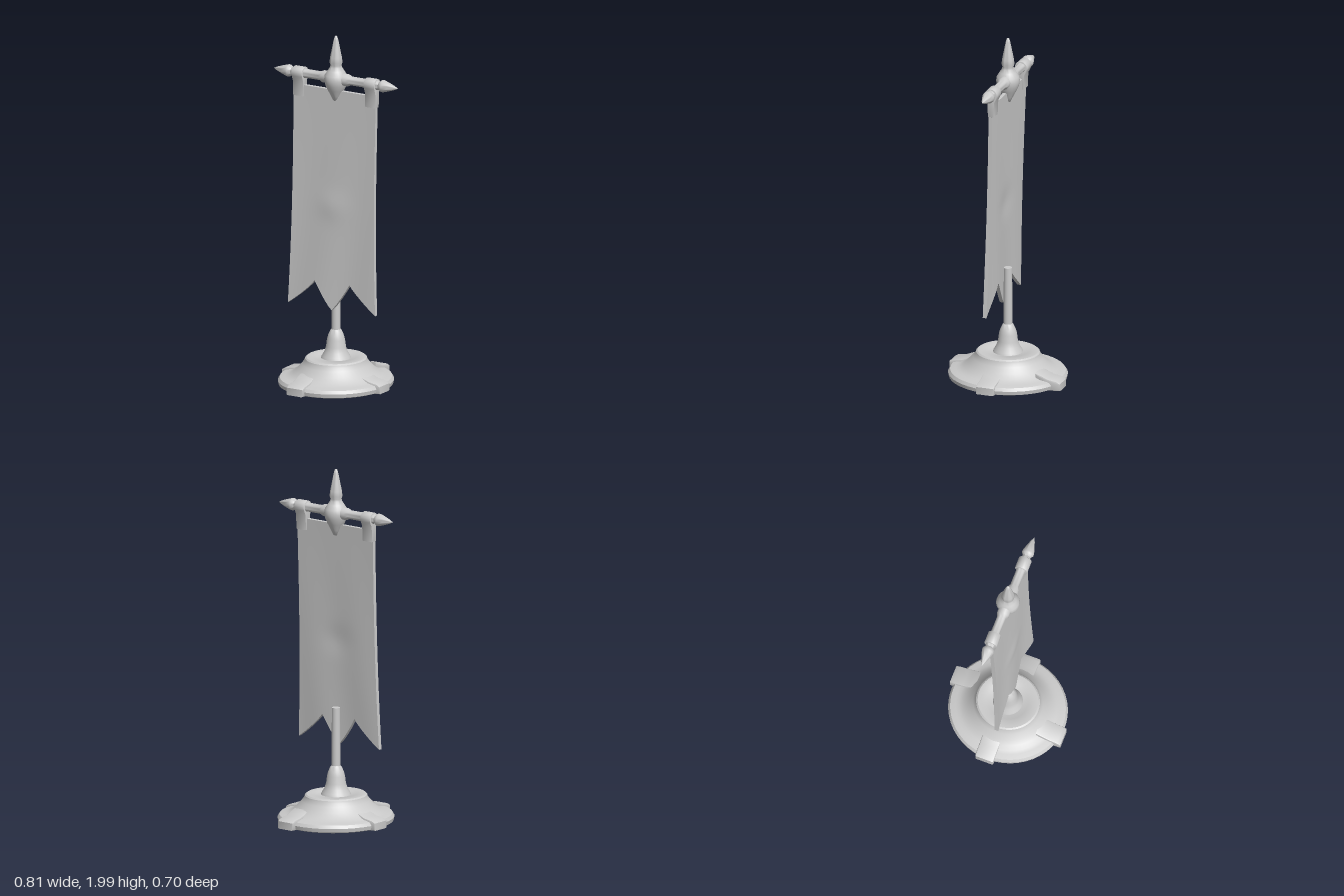
import * as THREE from 'three';
import { toCreasedNormals } from 'three/addons/utils/BufferGeometryUtils.js';

const material = new THREE.MeshStandardMaterial({ color: 0xcccccc });

function add(parent, name, geometry) {
  const mesh = new THREE.Mesh(geometry, material);
  mesh.name = name;
  parent.add(mesh);
  return mesh;
}

// Turned part from [radius, height] pairs, listed bottom to top
function turned(profile, segments = 32, crease = 0.6) {
  const points = profile.map(([r, y]) => new THREE.Vector2(r, y));
  return toCreasedNormals(new THREE.LatheGeometry(points, segments), crease);
}

// Outline in (x, y) extruded and centred along z
function slab(points, depth, bevel) {
  const shape = new THREE.Shape(points.map(([x, y]) => new THREE.Vector2(x, y)));
  const geometry = new THREE.ExtrudeGeometry(shape, {
    depth: depth - 2 * bevel, bevelEnabled: true, bevelThickness: bevel,
    bevelSize: bevel, bevelOffset: -bevel, bevelSegments: 2,
  });
  geometry.translate(0, 0, -depth / 2 + bevel);
  return toCreasedNormals(geometry, 0.6);
}

// Thin cloth: a box bent by rule, with two notches in the lower edge
function clothGeometry() {
  const geometry = new THREE.BoxGeometry(2, 1, 0.022, 40, 36, 1);
  const pos = geometry.attributes.position;
  const notch = 0.4;
  for (let i = 0; i < pos.count; i++) {
    const u = pos.getX(i);
    const t = 0.5 - pos.getY(i); // 0 at the top, 1 at the lower edge
    const a = Math.abs(u);
    const bottom = a > notch
      ? THREE.MathUtils.lerp(0.595, 0.445, Math.pow((a - notch) / (1 - notch), 0.85))
      : THREE.MathUtils.lerp(0.44, 0.595, Math.pow(a / notch, 1.15));
    const y = THREE.MathUtils.lerp(1.69, bottom, t);
    const drop = (1.69 - y) / 1.25;
    const halfWidth = 0.268 - 0.006 * Math.sin(drop * Math.PI) + 0.014 * drop ** 3;
    const fold = 0.004 * Math.sin(u * 5 + drop * 3) * drop
      + 0.006 * Math.exp(-((u * 3) ** 2) - ((y - 1.03) * 14) ** 2);
    const z = 0.002 + 0.034 * drop - 0.008 * u * drop + fold;
    pos.setXYZ(i, u * halfWidth, y, z + pos.getZ(i));
  }
  geometry.computeVertexNormals();
  return geometry;
}

export function createModel() {
  const model = new THREE.Group();
  model.name = 'bannerStand';

  // Stepped round foot
  const base = new THREE.Group();
  base.name = 'base';
  model.add(base);
  const foot = add(base, 'foot', turned([
    [0, 0.008], [0.305, 0.008], [0.322, 0.015], [0.326, 0.036], [0.315, 0.053],
    [0.285, 0.06], [0.265, 0.064], [0.24, 0.078], [0.215, 0.1], [0.19, 0.128],
    [0.178, 0.145], [0.174, 0.158], [0.165, 0.165], [0.12, 0.165], [0.11, 0.16], [0, 0.16],
  ], 48));
  foot.scale.set(0.97, 1, 1.02);

  // Four clasps over the rim: [turn, reach, sideways shift]
  const claspProfile = [
    [0.2, 0.03], [0.2, 0.1], [0.235, 0.088], [0.27, 0.073],
    [0.325, 0.064], [0.345, 0.052], [0.345, 0.01], [0.28, 0.006],
  ];
  const clasps = [
    [0, 0.327, -0.015], [Math.PI / 2, 0.353, 0.075],
    [Math.PI, 0.33, 0.015], [-Math.PI / 2, 0.348, 0.052],
  ];
  for (const [turn, reach, shift] of clasps) {
    const holder = new THREE.Group();
    holder.name = 'claspMount';
    holder.rotation.y = turn;
    base.add(holder);
    const outline = claspProfile.map(([r, y]) => [r + reach - 0.345, y]);
    // Shift is measured along the holder's own z axis
    add(holder, 'rimClasp', slab(outline, 0.108, 0.008)).position.z = turn === 0 ? -shift : shift;
  }

  // Socket and short pole behind the cloth
  add(model, 'socket', turned([
    [0.085, 0.155], [0.078, 0.172], [0.064, 0.195], [0.055, 0.225], [0.05, 0.265],
    [0.043, 0.29], [0.03, 0.318], [0.022, 0.325],
  ], 24, 0.9));
  add(model, 'pole', new THREE.CylinderGeometry(0.023, 0.025, 0.37, 20)).position.y = 0.465;

  // Crossbar with a spear tip at each end
  const rail = new THREE.Group();
  rail.name = 'crossbar';
  rail.position.y = 1.755;
  model.add(rail);
  for (const side of [-1, 1]) {
    const arm = add(rail, side > 0 ? 'leftArm' : 'rightArm', turned([
      [0.036, 0], [0.034, 0.08], [0.025, 0.1], [0.025, 0.19], [0.029, 0.21], [0.029, 0.265],
      [0.022, 0.285], [0.034, 0.3], [0.034, 0.312], [0.024, 0.345], [0.012, 0.38], [0, 0.405],
    ], 20, 0.9));
    arm.rotation.z = -side * Math.PI / 2;
  }

  // Central hub with the tall spike above and a blunt point below
  add(model, 'hubAndSpike', turned([
    [0, 1.622], [0.014, 1.626], [0.028, 1.655], [0.046, 1.69], [0.06, 1.72], [0.066, 1.75],
    [0.062, 1.775], [0.046, 1.8], [0.033, 1.82], [0.031, 1.832], [0.036, 1.848],
    [0.033, 1.875], [0.024, 1.92], [0.013, 1.975], [0.007, 1.995], [0, 2],
  ], 24, 1));

  // Cloth and its two hanging loops
  add(model, 'cloth', clothGeometry());
  const loopOutline = [[-0.016, 1.625], [0.018, 1.625], [0.022, 1.71]];
  for (let i = 0; i <= 12; i++) {
    const a = -0.4 + (i / 12) * (Math.PI + 0.8);
    loopOutline.push([0.037 * Math.cos(a), 1.753 + 0.037 * Math.sin(a)]);
  }
  loopOutline.push([-0.02, 1.71]);
  for (const side of [-1, 1]) {
    const loop = add(model, side > 0 ? 'leftLoop' : 'rightLoop', slab(loopOutline, 0.07, 0.004));
    loop.rotation.y = -Math.PI / 2;
    loop.position.x = side * 0.235;
  }

  return model;
}
